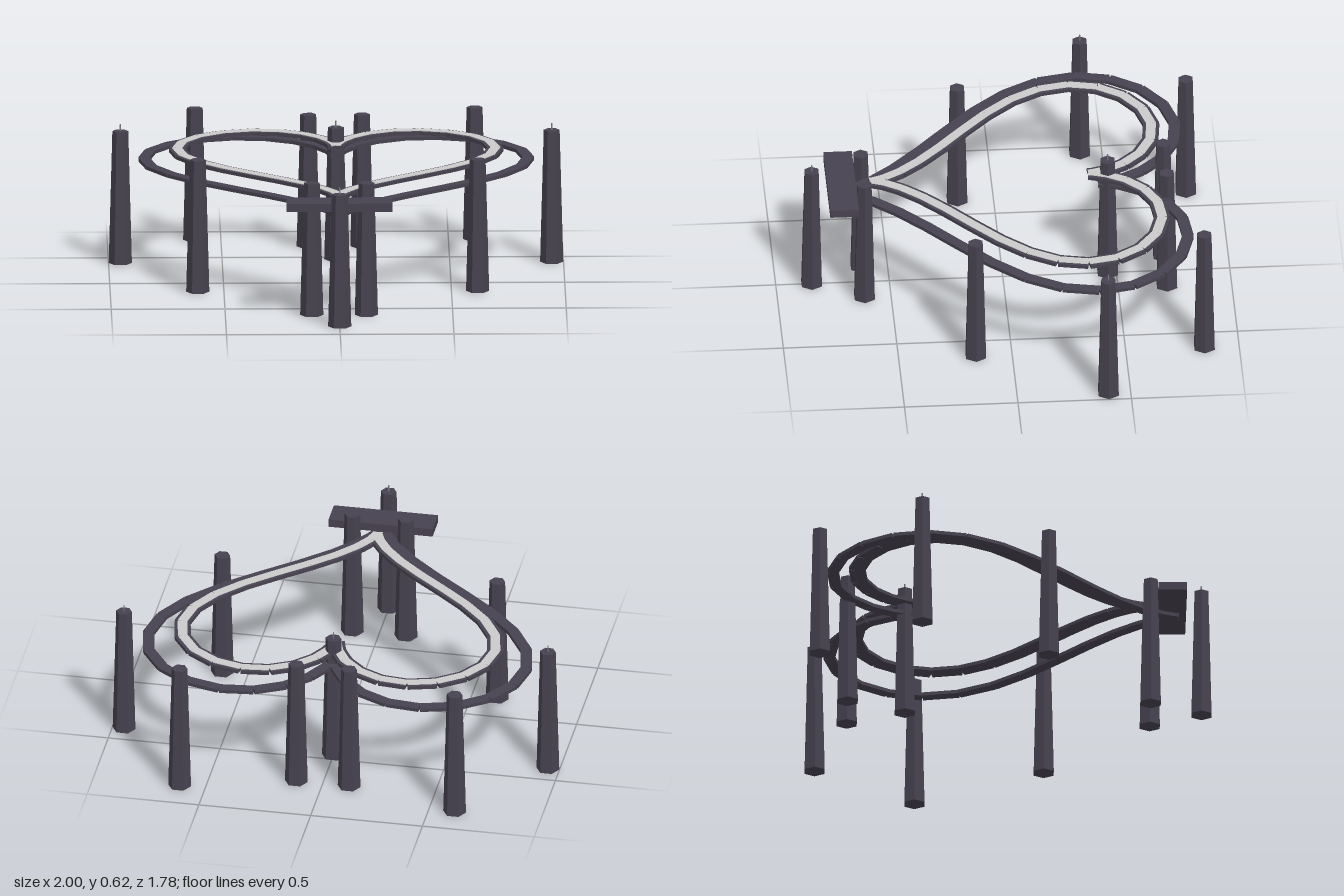
import * as THREE from 'three';

const dark = new THREE.MeshStandardMaterial({ color: 0x47424f, flatShading: true });
dark.name = 'darkSlate';
const light = new THREE.MeshStandardMaterial({ color: 0xcacaca, flatShading: true });
light.name = 'lightGrey';
const metal = new THREE.MeshStandardMaterial({ color: 0x7c7a80, flatShading: true });
metal.name = 'spikeGrey';

// Heart curve in the ground plane; halfWidth is the reach along x
function heartPoint(t, halfWidth) {
  const s = halfWidth / 16;
  const x = 16 * Math.sin(t) ** 3;
  const y = 13 * Math.cos(t) - 5 * Math.cos(2 * t) - 2 * Math.cos(3 * t) - Math.cos(4 * t);
  return new THREE.Vector2(x * s, -y * s - 0.158);
}

// Chain of straight planks following the heart
function heartTrack(name, halfWidth, y, width, height, material) {
  const group = new THREE.Group();
  group.name = name;
  const count = 40;
  for (let i = 0; i < count; i++) {
    const a = heartPoint((i / count) * Math.PI * 2, halfWidth);
    const b = heartPoint(((i + 1) / count) * Math.PI * 2, halfWidth);
    const plank = new THREE.Mesh(new THREE.BoxGeometry(width, height, a.distanceTo(b)), material);
    plank.name = name + 'Plank';
    plank.position.set((a.x + b.x) / 2, y, (a.y + b.y) / 2);
    plank.rotation.y = Math.atan2(b.x - a.x, b.y - a.y);
    group.add(plank);
  }
  return group;
}

// Tapered hexagonal post, optionally with a thin spike on top
function post(x, z, spiked) {
  const group = new THREE.Group();
  group.name = 'post';
  const shaft = new THREE.Mesh(new THREE.CylinderGeometry(0.035, 0.051, 0.595, 6), dark);
  shaft.name = 'postShaft';
  shaft.position.y = 0.2975;
  shaft.rotation.y = Math.PI / 6;
  group.add(shaft);
  if (spiked) {
    const spike = new THREE.Mesh(new THREE.CylinderGeometry(0.003, 0.003, 0.03, 6), metal);
    spike.name = 'postSpike';
    spike.position.y = 0.61;
    group.add(spike);
  }
  group.position.set(x, 0, z);
  return group;
}

export function createModel() {
  const model = new THREE.Group();
  model.name = 'heartWalkway';

  // Lower outer ring, upper inner ring and its pale running strip
  model.add(heartTrack('outerTrack', 0.845, 0.475, 0.05, 0.016, dark));
  model.add(heartTrack('innerTrack', 0.7, 0.524, 0.072, 0.015, dark));
  model.add(heartTrack('innerStrip', 0.7, 0.532, 0.043, 0.005, light));

  // Front platform at the tip of the heart
  const platform = new THREE.Mesh(new THREE.BoxGeometry(0.465, 0.037, 0.126), dark);
  platform.name = 'platform';
  platform.position.set(0, 0.5185, 0.712);
  model.add(platform);

  // Mirrored posts
  const pairs = [[0.948, -0.402, true], [0.615, -0.847], [0.118, -0.715], [0.615, 0.16], [0.12, 0.617]];
  for (const [x, z, spiked] of pairs) {
    for (const side of [1, -1]) model.add(post(side * x, z, spiked));
  }
  // Posts on the centre line
  for (const z of [-0.462, 0.842]) model.add(post(0, z, true));

  return model;
}
